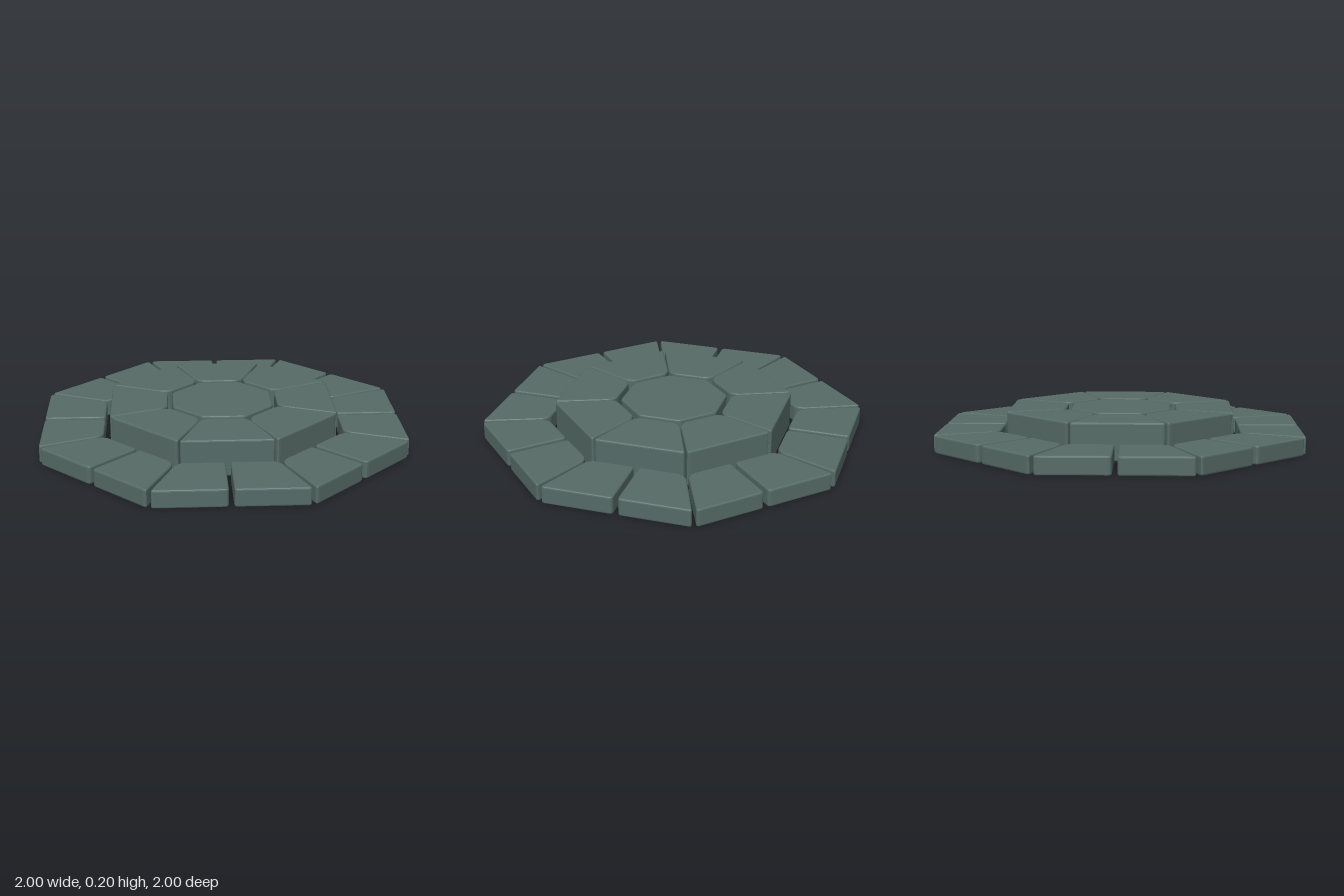
import * as THREE from 'three';

const stone = new THREE.MeshStandardMaterial({ color: 0x566b67 });
stone.name = 'greyGreenStone';

const BEVEL = 0.01;
const CORNER = 0.02;

// Outline with every corner softened; points are [across, outward]
function softOutline(points) {
  const shape = new THREE.Shape();
  const pts = points.map(([x, z]) => new THREE.Vector2(x, -z));
  const n = pts.length;
  pts.forEach((p, i) => {
    const toward = (q) => p.clone().add(q.clone().sub(p).setLength(CORNER));
    const a = toward(pts[(i + n - 1) % n]);
    const b = toward(pts[(i + 1) % n]);
    if (i === 0) shape.moveTo(a.x, a.y);
    else shape.lineTo(a.x, a.y);
    shape.quadraticCurveTo(p.x, p.y, b.x, b.y);
  });
  shape.closePath();
  return shape;
}

// Bevelled slab standing on y = 0
function slabGeometry(points, height) {
  const geometry = new THREE.ExtrudeGeometry(softOutline(points), {
    depth: height - 2 * BEVEL,
    bevelThickness: BEVEL,
    bevelSize: BEVEL,
    bevelOffset: -BEVEL,
    bevelSegments: 3,
    curveSegments: 3,
  });
  geometry.translate(0, 0, BEVEL);
  geometry.rotateX(-Math.PI / 2);
  return geometry;
}

function addSlab(parent, name, geometry, angle = 0) {
  const mesh = new THREE.Mesh(geometry, stone);
  mesh.name = name;
  mesh.rotation.y = angle;
  parent.add(mesh);
}

export function createModel() {
  const model = new THREE.Group();
  model.name = 'octagonalStonePlatform';

  // Raised octagonal centre
  const apothem = 0.278;
  const radius = apothem / Math.cos(Math.PI / 8);
  const octagon = Array.from({ length: 8 }, (_, i) => {
    const a = ((i + 0.5) * Math.PI) / 4;
    return [radius * Math.cos(a), radius * Math.sin(a)];
  });
  addSlab(model, 'centreStone', slabGeometry(octagon, 0.205));

  // Raised inner ring and low outer ring of paired stones
  const inner = slabGeometry([
    [-0.1, 0.305], [0.1, 0.305], [0.138, 0.335],
    [0.252, 0.622], [-0.252, 0.622], [-0.138, 0.335],
  ], 0.205);
  const half = [[0.013, 0.658], [0.243, 0.658], [0.278, 0.685], [0.403, 1], [0.013, 1]];
  const outerLeft = slabGeometry(half, 0.1);
  const outerRight = slabGeometry(half.map(([x, z]) => [-x, z]), 0.1);

  const innerRing = new THREE.Group();
  innerRing.name = 'innerRing';
  const outerRing = new THREE.Group();
  outerRing.name = 'outerRing';
  for (let i = 0; i < 8; i++) {
    const angle = (i * Math.PI) / 4;
    addSlab(innerRing, 'innerStone', inner, angle);
    addSlab(outerRing, 'outerStoneLeft', outerLeft, angle);
    addSlab(outerRing, 'outerStoneRight', outerRight, angle);
  }
  model.add(innerRing, outerRing);
  return model;
}
